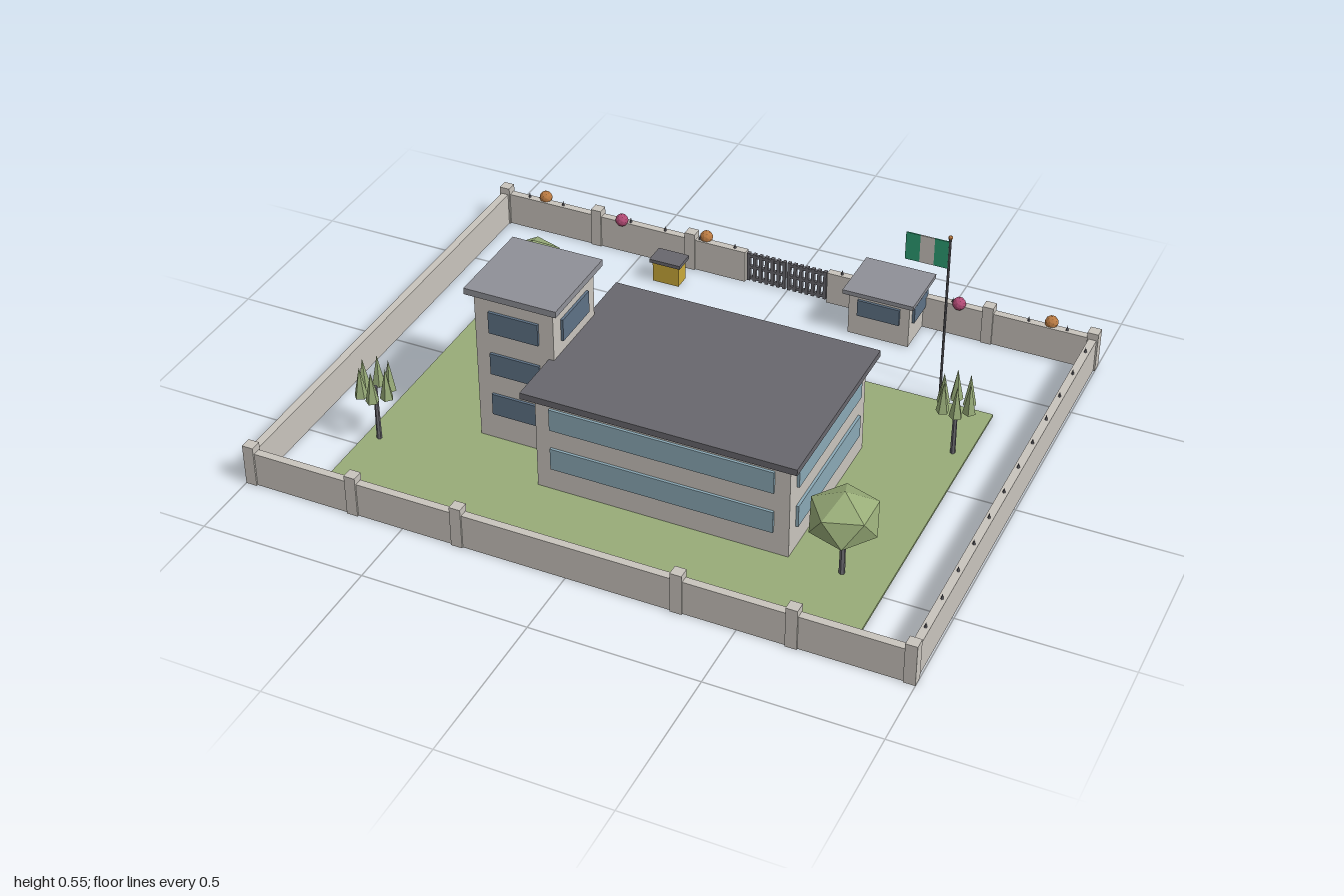
import * as THREE from 'three';

const mat = (name, color) => Object.assign(new THREE.MeshStandardMaterial({ color, flatShading: true }), { name });

export function createModel() {
  const root = new THREE.Group();
  const wall = mat('warm plaster', 0xc9c4bd);
  const glass = mat('pale glass', 0x8ba9b6);
  const darkGlass = mat('dark glass', 0x5e7286);
  const dark = mat('charcoal', 0x68676d);
  const grey = mat('light grey roof', 0x8f9097);
  const green = mat('grass and leaf green', 0x98ac78);
  const flagGreen = mat('flag green', 0x2d9c72);
  const orange = mat('orange blossom', 0xb97a42);
  const pink = mat('pink blossom', 0xb04a74);
  const yellow = mat('machine yellow', 0xc9a93a);

  const group = (name) => {
    const g = new THREE.Group();
    g.name = name;
    root.add(g);
    return g;
  };
  const add = (parent, name, geo, m, x, y, z) => {
    const mesh = new THREE.Mesh(geo, m);
    mesh.name = name;
    mesh.position.set(x, y, z);
    parent.add(mesh);
    return mesh;
  };
  // Box given by its extents along each axis
  const box = (parent, name, m, x0, x1, y0, y1, z0, z1) =>
    add(parent, name, new THREE.BoxGeometry(x1 - x0, y1 - y0, z1 - z0), m,
      (x0 + x1) / 2, (y0 + y1) / 2, (z0 + z1) / 2);

  // Building block with an overhanging roof and window bands on all four sides
  function block(name, o) {
    const g = group(name);
    const { x, z, w, d, h, roofT, over, rows, insetX, insetZ } = o;
    box(g, 'walls', wall, x - w / 2, x + w / 2, 0.002, h, z - d / 2, z + d / 2);
    box(g, 'roof', o.roof, x - w / 2 - over, x + w / 2 + over, h, h + roofT, z - d / 2 - over, z + d / 2 + over);
    const t = 0.008;
    for (const [y0, y1] of rows) for (const s of [-1, 1]) {
      const zf = z + s * (d / 2 + t / 2), xf = x + s * (w / 2 + t / 2);
      box(g, 'window', o.glass, x - w / 2 + insetX, x + w / 2 - insetX, y0, y1, zf - t / 2, zf + t / 2);
      box(g, 'window', o.glass, xf - t / 2, xf + t / 2, y0, y1, z - d / 2 + insetZ, z + d / 2 - insetZ);
    }
    return g;
  }

  // Lawn
  box(root, 'lawn', green, -0.805, 0.8, 0, 0.008, -0.385, 0.68);

  // Buildings
  block('mainBuilding', { x: 0.132, z: 0.19, w: 0.76, d: 0.54, h: 0.315, roofT: 0.02, over: 0.03,
    rows: [[0.082, 0.152], [0.216, 0.286]], insetX: 0.045, insetZ: 0.045, roof: dark, glass });
  const tower = block('tower', { x: -0.384, z: 0.19, w: 0.245, d: 0.25, h: 0.495, roofT: 0.02, over: 0.02,
    rows: [[0.095, 0.165], [0.235, 0.305], [0.375, 0.445]], insetX: 0.045, insetZ: 0.045, roof: grey, glass: darkGlass });
  box(tower, 'entranceBoard', green, -0.525, -0.245, 0.075, 0.185, 0.046, 0.056);
  block('guardHouse', { x: 0.353, z: -0.692, w: 0.195, d: 0.165, h: 0.147, roofT: 0.014, over: 0.016,
    rows: [[0.075, 0.13]], insetX: 0.03, insetZ: 0.025, roof: grey, glass: darkGlass });

  // Perimeter wall, posts and spikes
  const fence = group('perimeterWall');
  const H = 0.108, zb = -0.745, zf = 0.77, xs = 0.983, t = 0.012;
  box(fence, 'frontWall', wall, -xs, xs, 0, H, zf - t, zf + t);
  box(fence, 'backWall', wall, -xs, -0.14, 0, H, zb - t, zb + t);
  box(fence, 'backWall', wall, 0.135, xs, 0, H, zb - t, zb + t);
  for (const s of [-1, 1]) box(fence, 'sideWall', wall, s * xs - t, s * xs + t, 0, H, zb, zf);
  const post = (x, z) => box(fence, 'post', wall, x - 0.017, x + 0.017, 0, 0.13, z - 0.017, z + 0.017);
  for (const x of [-xs, -0.656, -0.328, 0.328, 0.656, xs]) {
    post(x, zf);
    post(x, zb);
  }
  const spike = new THREE.ConeGeometry(0.005, 0.018, 5);
  for (let i = 0; i < 12; i++) add(fence, 'spike', spike, dark, xs, H + 0.008, -0.66 + i * 0.122);
  for (let i = 0; i < 16; i++) {
    const x = -0.9 + i * 0.12;
    if (x < -0.15 || x > 0.14) add(fence, 'spike', spike, dark, x, H + 0.008, zb);
  }

  // Two-leaf barred gate
  const gate = group('gate');
  for (const s of [-1, 1]) {
    const cx = s * 0.068 - 0.003;
    for (const y of [0.015, 0.055, 0.095])
      box(gate, 'gateRail', dark, cx - 0.064, cx + 0.064, y - 0.005, y + 0.005, zb - 0.005, zb + 0.005);
    for (let i = 0; i < 7; i++) {
      const x = cx - 0.06 + i * 0.02;
      box(gate, 'gateBar', dark, x - 0.005, x + 0.005, 0.005, 0.105, zb - 0.006, zb + 0.006);
    }
  }

  // Generator
  const gen = group('generator');
  box(gen, 'generatorBody', yellow, -0.405, -0.317, 0, 0.07, -0.675, -0.62);
  box(gen, 'generatorTop', dark, -0.413, -0.309, 0.07, 0.082, -0.683, -0.612);

  // Flagpole
  const pole = group('flagpole');
  add(pole, 'pole', new THREE.CylinderGeometry(0.004, 0.004, 0.54, 8), dark, 0.62, 0.27, -0.43);
  add(pole, 'finial', new THREE.SphereGeometry(0.007, 8, 6), orange, 0.62, 0.542, -0.43);
  for (let i = 0; i < 3; i++) {
    const x = 0.488 + i * 0.0435;
    box(pole, 'flagStripe', i === 1 ? wall : flagGreen, x, x + 0.0435, 0.438, 0.528, -0.432, -0.428);
  }

  // Round trees: icosahedron crowns standing on a corner
  const crown = new THREE.IcosahedronGeometry(1, 0).rotateZ(Math.atan(2 / (1 + Math.sqrt(5))));
  for (const [x, z, y, r, ry] of [[-0.675, -0.345, 0.17, 0.089, 0.066], [0.667, 0.46, 0.2, 0.107, 0.084]]) {
    const g = group('roundTree');
    add(g, 'trunk', new THREE.CylinderGeometry(0.007, 0.009, y, 6), dark, x, y / 2, z);
    add(g, 'crown', crown, green, x, y, z).scale.set(r, ry, r);
  }

  // Slim trees: a ring of pointed fronds on a thin trunk
  const frond = new THREE.ConeGeometry(0.02, 0.1, 5);
  for (const [x, z] of [[0.755, -0.165], [-0.762, 0.457]]) {
    const g = group('slimTree');
    add(g, 'trunk', new THREE.CylinderGeometry(0.006, 0.008, 0.19, 6), dark, x, 0.095, z);
    for (let i = 0; i < 6; i++) {
      const a = i * Math.PI / 3 + 0.2;
      add(g, 'frond', frond, green, x + 0.043 * Math.cos(a), 0.217, z + 0.043 * Math.sin(a)).rotation.y = a;
    }
  }

  // Blossoms along the back wall
  const blossom = new THREE.IcosahedronGeometry(0.021, 1);
  const flowers = group('blossoms');
  for (const x of [-0.848, -0.283, 0.847]) add(flowers, 'orangeBlossom', blossom, orange, x, 0.115, -0.757);
  for (const x of [-0.567, 0.563]) add(flowers, 'pinkBlossom', blossom, pink, x, 0.115, -0.735);

  return root;
}
